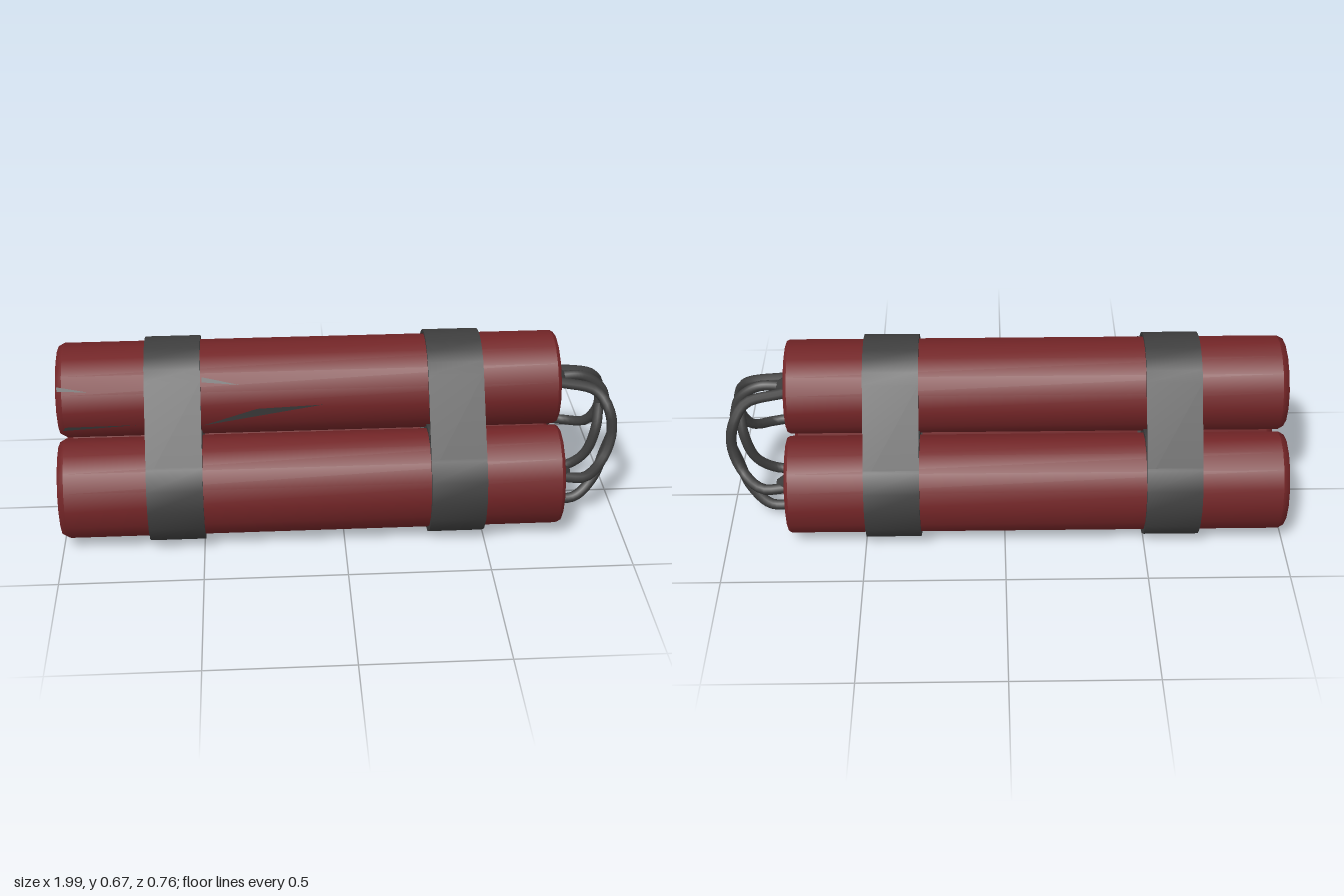
import * as THREE from 'three';
import { toCreasedNormals } from 'three/addons/utils/BufferGeometryUtils.js';

const red = new THREE.MeshStandardMaterial({ color: 0x732527 });
red.name = 'red casing';
const grey = new THREE.MeshStandardMaterial({ color: 0x3e3e3e, side: THREE.DoubleSide });
grey.name = 'dark grey';

const SEGMENTS = 16;
// Centre and half sizes of each stick's cross-section
const STICKS = [
  { name: 'topStick', y: 0.49, z: 0, ry: 0.168, rz: 0.177 },
  { name: 'leftStick', y: 0.202, z: 0.2, ry: 0.182, rz: 0.164 },
  { name: 'rightStick', y: 0.202, z: -0.2, ry: 0.182, rz: 0.164 },
];

const add = (parent, name, geometry, material) => {
  const mesh = new THREE.Mesh(geometry, material);
  mesh.name = name;
  parent.add(mesh);
  return mesh;
};

// Unit-radius turned shape lying along x; profile is [radius, x]
function turned(profile) {
  const points = profile.map(([r, x]) => new THREE.Vector2(r, x));
  const geometry = new THREE.LatheGeometry(points, SEGMENTS).rotateZ(-Math.PI / 2);
  return toCreasedNormals(geometry, 0.6);
}

// Flat outline in (z, y) pushed out along x
function band(shape, x, width) {
  const geometry = new THREE.ExtrudeGeometry(shape, { depth: width, bevelEnabled: false, curveSegments: SEGMENTS });
  return toCreasedNormals(geometry.rotateY(Math.PI / 2).translate(x, 0, 0), 0.6);
}

function arc(cz, cy, rz, ry, from, to, steps) {
  return Array.from({ length: steps + 1 }, (_, i) => {
    const a = THREE.MathUtils.degToRad(from + ((to - from) * i) / steps);
    return new THREE.Vector2(cz + rz * Math.cos(a), cy + ry * Math.sin(a));
  });
}

// Strap pulled over the top stick down to the outer flanks of the lower ones
function overStrap(inset) {
  const r = 0.184 - inset;
  const low = new THREE.Vector2(0.2 + 0.148 - inset, 0.303);
  return [low, ...arc(0, 0.49, r, r, 34, 146, 8), new THREE.Vector2(-low.x, low.y)];
}

function fuse(points, side) {
  const path = new THREE.CatmullRomCurve3(points.map(([x, y, z]) => new THREE.Vector3(x, y, z * side)));
  const group = new THREE.Group();
  add(group, 'fuseCord', new THREE.TubeGeometry(path, 24, 0.019, 8), grey);
  const end = points[points.length - 1];
  add(group, 'fuseTip', new THREE.SphereGeometry(0.019, 8, 6), grey).position.set(end[0], end[1], end[2] * side);
  return group;
}

// Thin tear lying on the front of the top stick; corners are [x, degrees up]
function tear(corners) {
  const s = STICKS[0];
  const positions = corners.flatMap(([x, degrees]) => {
    const a = THREE.MathUtils.degToRad(degrees);
    return [x, s.y + (s.ry + 0.005) * Math.sin(a), s.z + (s.rz + 0.005) * Math.cos(a)];
  });
  const geometry = new THREE.BufferGeometry();
  geometry.setAttribute('position', new THREE.Float32BufferAttribute(positions, 3));
  geometry.computeVertexNormals();
  return geometry;
}

export function createModel() {
  const model = new THREE.Group();
  model.name = 'stickBundle';

  // Sticks with a grey cap on the fuse end
  const casing = turned([[0, -0.985], [0.72, -0.985], [0.93, -0.997], [1, -0.975], [1, 0.76], [0.96, 0.772], [0.73, 0.772]]);
  const cap = turned([[0.73, 0.772], [0.4, 0.775], [0.2, 0.79], [0.1, 0.815], [0, 0.815]]);
  for (const s of STICKS) {
    const stick = new THREE.Group();
    stick.name = s.name;
    stick.position.set(0, s.y, s.z);
    stick.scale.set(1, s.ry, s.rz);
    add(stick, 'casing', casing, red);
    add(stick, 'endCap', cap, grey);
    model.add(stick);
  }

  // Two straps: a loop round each lower stick and a band over the top
  for (const [name, x] of [['rearStrap', -0.69], ['fuseEndStrap', 0.3]]) {
    const strap = new THREE.Group();
    strap.name = name;
    for (const z of [0.2, -0.2]) {
      const loop = new THREE.Shape(arc(z, 0.2, 0.178, 0.199, 0, 360, SEGMENTS).slice(0, -1));
      loop.holes.push(new THREE.Path(arc(z, 0.2, 0.162, 0.18, 0, 360, SEGMENTS).slice(0, -1)));
      add(strap, 'lowerLoop', band(loop, x, 0.195), grey);
    }
    const over = new THREE.Shape([...overStrap(0), ...overStrap(0.011).reverse()]);
    add(strap, 'overBand', band(over, x, 0.195), grey);
    model.add(strap);
  }

  // Fuses, mirrored, with one short cord in the middle
  const linkFuse = [[0.78, 0.2, 0.22], [0.87, 0.19, 0.21], [0.94, 0.22, 0.15], [0.975, 0.3, 0.12],
    [0.965, 0.4, 0.11], [0.92, 0.465, 0.07], [0.78, 0.495, 0.05]];
  const lowFuse = [[0.77, 0.04, 0.11], [0.86, 0.045, 0.11], [0.93, 0.11, 0.085], [0.965, 0.22, 0.08], [0.977, 0.31, 0.115]];
  for (const [word, side] of [['left', 1], ['right', -1]]) {
    const link = fuse(linkFuse, side);
    link.name = word + 'LinkFuse';
    const low = fuse(lowFuse, side);
    low.name = word + 'LowFuse';
    model.add(link, low);
  }
  const middle = fuse([[0.78, 0.49, 0], [0.88, 0.49, 0], [0.95, 0.44, 0], [0.975, 0.365, 0]], 1);
  middle.name = 'middleFuse';
  model.add(middle);

  // Worn tears on the casing
  const tears = [
    [[-0.99, 28], [-0.88, 26], [-0.99, 33]],
    [[-0.98, -25], [-0.72, -18], [-0.97, -19]],
    [[-0.49, -22], [-0.07, 4], [-0.3, 1]],
    [[-0.49, 34], [-0.36, 30], [-0.49, 40]],
  ];
  for (const corners of tears) add(model, 'tear', tear(corners), grey);

  return model;
}
